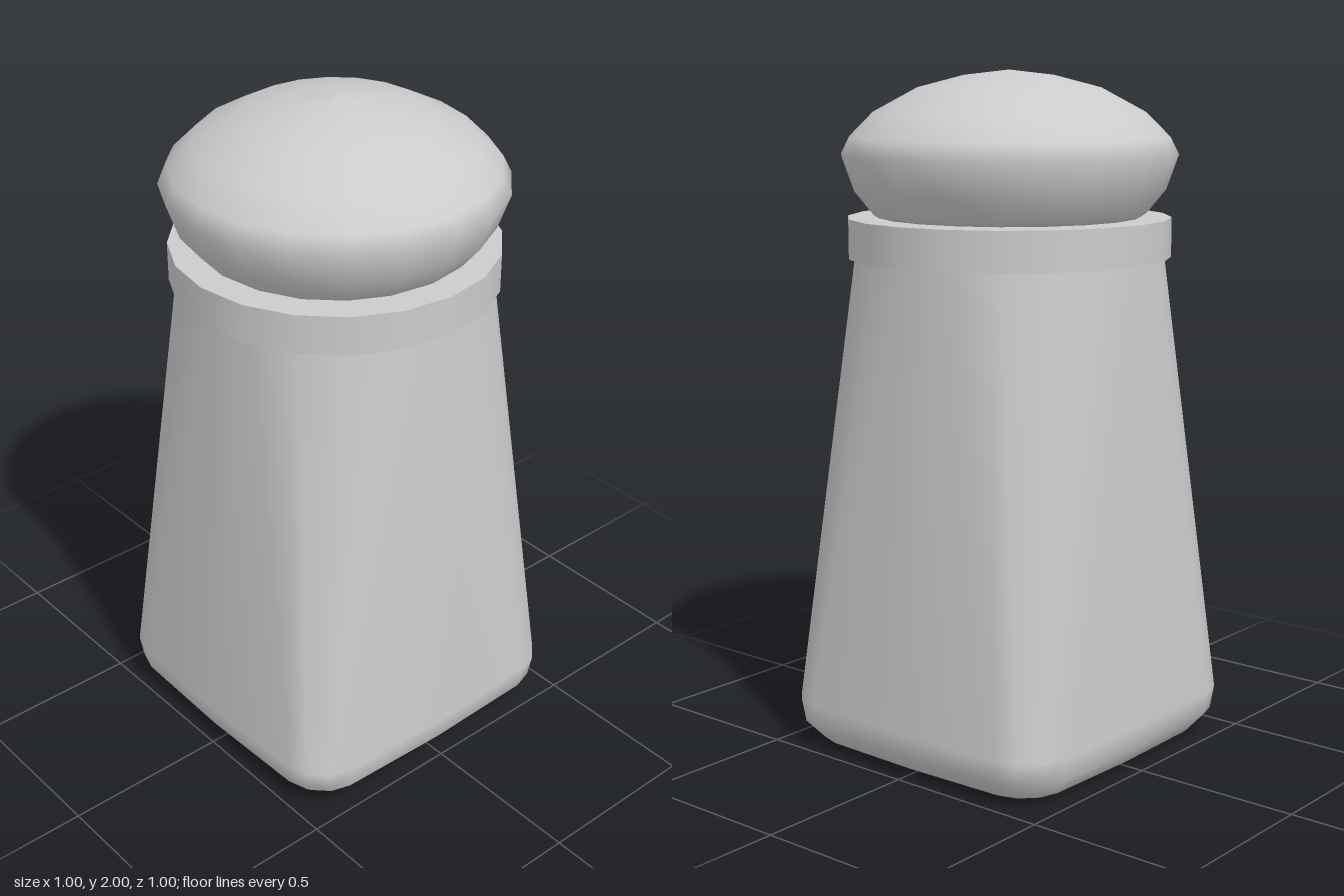
import * as THREE from 'three';

const SIDES = 20;
const material = new THREE.MeshStandardMaterial({ color: 0xcccccc });

// One quadrant of the rounded-square base, from the +z axis towards +x
const quadrant = [[0, 0.5], [0.355, 0.49], [0.42, 0.47], [0.47, 0.42], [0.49, 0.355]];

// Rounded-square outline: the quadrant turned four times
function squareRing(y, scale) {
  const ring = [];
  for (let q = 0; q < 4; q++) {
    for (const [x, z] of quadrant) {
      ring.push(new THREE.Vector3(x * scale, y, z * scale)
        .applyAxisAngle(new THREE.Vector3(0, 1, 0), q * Math.PI / 2));
    }
  }
  return ring;
}

function circleRing(y, radius) {
  return Array.from({ length: SIDES }, (_, i) => {
    const a = i / SIDES * Math.PI * 2;
    return new THREE.Vector3(Math.sin(a) * radius, y, Math.cos(a) * radius);
  });
}

// Skin through a stack of rings, with a flat bottom
function loft(rings) {
  const points = rings.flat();
  const index = [];
  for (let j = 0; j < rings.length - 1; j++) {
    for (let i = 0; i < SIDES; i++) {
      const a = j * SIDES + i, b = j * SIDES + (i + 1) % SIDES;
      index.push(a, b, b + SIDES, a, b + SIDES, a + SIDES);
    }
  }
  const start = points.length;
  points.push(...rings[0], new THREE.Vector3(0, rings[0][0].y, 0));
  for (let i = 0; i < SIDES; i++) {
    index.push(start + SIDES, start + (i + 1) % SIDES, start + i);
  }
  const geometry = new THREE.BufferGeometry().setFromPoints(points);
  geometry.setIndex(index);
  geometry.computeVertexNormals();
  return geometry;
}

export function createModel() {
  const group = new THREE.Group();
  const add = (name, geometry, y = 0) => {
    const mesh = new THREE.Mesh(geometry, material);
    mesh.name = name;
    mesh.position.y = y;
    group.add(mesh);
  };

  // Body: square with softened lower edges, tapering to a round top
  add('body', loft([
    squareRing(0, 0.8),
    squareRing(0.015, 0.89),
    squareRing(0.07, 0.98),
    squareRing(0.14, 1),
    circleRing(1.5, 0.448),
  ]));

  // Collar ring
  add('collar', new THREE.CylinderGeometry(0.472, 0.472, 0.115, SIDES), 1.5225);

  // Domed cap
  const profile = [
    [0, 1.582], [0.385, 1.582], [0.4, 1.592], [0.455, 1.66], [0.49, 1.76],
    [0.465, 1.81], [0.395, 1.88], [0.265, 1.95], [0.13, 1.985], [0, 2],
  ].map(([r, y]) => new THREE.Vector2(r, y));
  add('cap', new THREE.LatheGeometry(profile, SIDES));

  return group;
}
